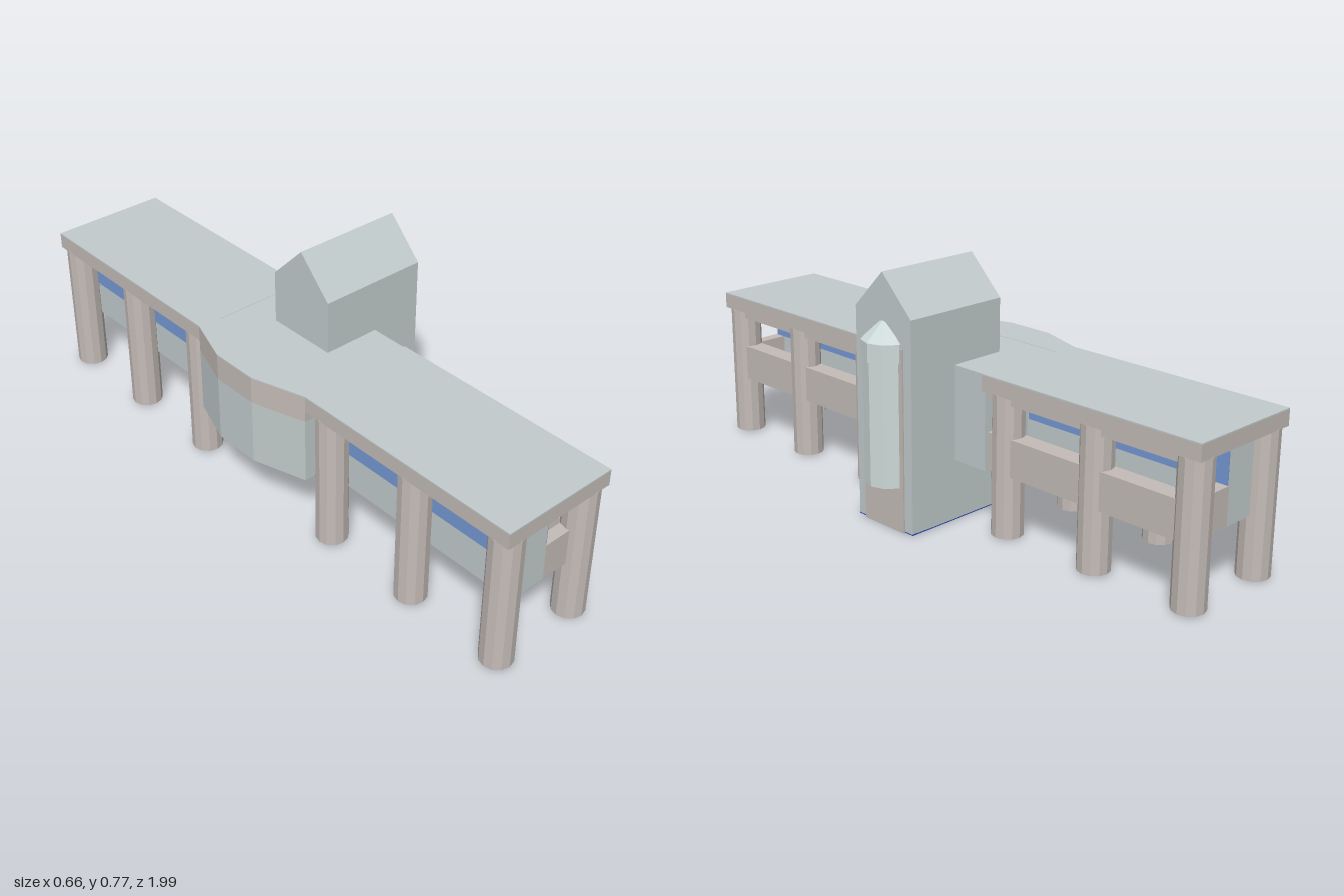
import * as THREE from 'three';

const mat = (name, color) => {
  const m = new THREE.MeshStandardMaterial({ color });
  m.name = name;
  return m;
};

export function createModel() {
  const group = new THREE.Group();
  const grey = mat('blue grey cladding', 0xc2cbcc);
  const stone = mat('warm stone', 0xc4bcb8);
  const glass = mat('window blue', 0x7398d4);
  const pale = mat('pale turret', 0xcddad9);
  const navy = mat('navy base', 0x2244bb);

  const add = (name, geo, material) => {
    const m = new THREE.Mesh(geo, material);
    m.name = name;
    group.add(m);
    return m;
  };
  // Box given by its two corners
  const box = (name, material, x0, x1, y0, y1, z0, z1) =>
    add(name, new THREE.BoxGeometry(x1 - x0, y1 - y0, z1 - z0), material)
      .position.set((x0 + x1) / 2, (y0 + y1) / 2, (z0 + z1) / 2);
  // Faceted cylinder or cone
  const faceted = (r0, r1, h, n) => {
    const g = new THREE.CylinderGeometry(r0, r1, h, n).toNonIndexed();
    g.computeVertexNormals();
    return g;
  };
  // Floor plan of [x, z] corners raised from y0 to y1
  const plan = (name, material, pts, y0, y1) => {
    const shape = new THREE.Shape(pts.map(([x, z]) => new THREE.Vector2(x, -z)));
    const g = new THREE.ExtrudeGeometry(shape, { depth: y1 - y0, bevelEnabled: false });
    g.rotateX(-Math.PI / 2);
    add(name, g, material).position.y = y0;
  };

  // Two mirrored wings
  for (const s of [-1, 1]) {
    const wing = (name, material, x0, x1, y0, y1, a, b) =>
      box(name, material, x0, x1, y0, y1, Math.min(s * a, s * b), Math.max(s * a, s * b));

    wing('roofSlab', stone, -0.275, 0.106, 0.435, 0.482, 0.235, 0.995);
    wing('roofTop', grey, -0.275, 0.106, 0.482, 0.486, 0.235, 0.995);
    wing('wingRoom', grey, -0.2, -0.077, 0.193, 0.435, 0.2, 0.955);
    wing('gallery floor', grey, -0.08, 0.06, 0.193, 0.203, 0.2, 0.955);
    wing('outerWindow', glass, -0.204, -0.199, 0.31, 0.41, 0.25, 0.95);
    wing('innerWindow', glass, -0.079, -0.074, 0.31, 0.41, 0.25, 0.954);
    wing('sideParapet', stone, 0.03, 0.09, 0.195, 0.31, 0.24, 0.95);
    wing('sideLintel', stone, 0.03, 0.09, 0.41, 0.436, 0.24, 0.95);
    wing('endParapet', stone, -0.077, 0.06, 0.195, 0.31, 0.92, 0.957);
    wing('endLintel', grey, -0.077, 0.06, 0.41, 0.436, 0.92, 0.955);

    // Round columns under both long edges
    for (const x of [-0.228, 0.059])
      for (const z of [0.297, 0.625, 0.948])
        add('column', faceted(0.049, 0.049, 0.432, 12), stone).position.set(x, 0.22, s * z);
  }

  // Centre block with the swelling rear bay
  box('centreBlock', grey, -0.2, 0.102, 0.193, 0.485, -0.245, 0.235);
  const bay = [[-0.2, -0.245], [-0.275, -0.245], [-0.328, -0.09],
    [-0.328, 0.065], [-0.275, 0.235], [-0.2, 0.235]];
  plan('bayWall', grey, bay, 0.193, 0.4);
  plan('bayBand', stone, bay, 0.4, 0.482);
  plan('bayRoof', grey, bay, 0.482, 0.486);

  // Gabled tower, ridge running along x
  const gable = new THREE.Shape();
  [[-0.113, 0.005], [0.12, 0.005], [0.12, 0.65], [0.002, 0.768], [-0.113, 0.65]]
    .forEach(([x, y], i) => (i ? gable.lineTo(x, y) : gable.moveTo(x, y)));
  const towerGeo = new THREE.ExtrudeGeometry(gable, { depth: 0.354, bevelEnabled: false });
  towerGeo.rotateY(Math.PI / 2);
  add('tower', towerGeo, grey).position.x = -0.083;
  box('towerUnderside', navy, -0.083, 0.271, 0.002, 0.006, -0.12, 0.113);
  box('towerCore', stone, 0.022, 0.276, 0, 0.56, -0.087, 0.081);

  // Half-round turret on the tower front
  const turret = (name, r0, r1, y0, y1) => {
    const m = add(name, faceted(r0, r1, y1 - y0, 10), pale);
    m.position.set(0.253, (y0 + y1) / 2, -0.003);
    m.rotation.y = Math.PI / 10;
  };
  turret('turretShaft', 0.073, 0.073, 0.138, 0.515);
  turret('turretHead', 0.078, 0.078, 0.515, 0.572);
  turret('turretRoof', 0.002, 0.078, 0.572, 0.642);

  return group;
}
